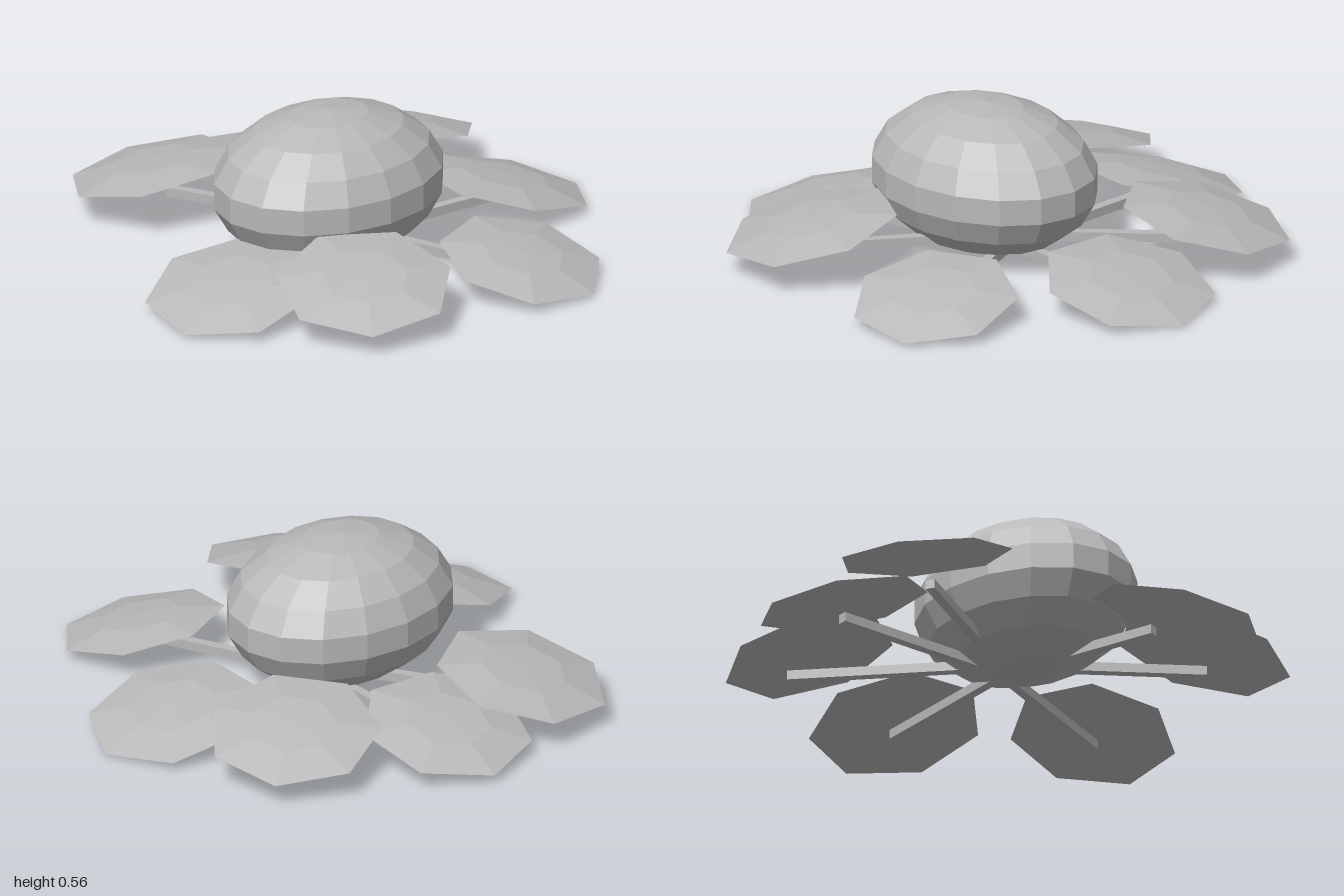
import * as THREE from 'three';

export function createModel() {
  const model = new THREE.Group();
  const grey = new THREE.MeshStandardMaterial({ color: 0xb8b8b8, flatShading: true });
  grey.name = 'plain grey';

  function add(geometry, name, parent = model) {
    const mesh = new THREE.Mesh(geometry, grey);
    mesh.name = name;
    parent.add(mesh);
    return mesh;
  }

  // Faceted, squashed body, turned a little and set off centre
  const body = add(new THREE.SphereGeometry(1, 16, 9), 'body');
  body.scale.set(0.459, 0.28, 0.366);
  body.rotation.y = THREE.MathUtils.degToRad(20.5);
  body.position.set(-0.123, 0.285, 0.045);

  // Shallow seven-sided dome with a flat underside
  function padGeometry(radius, phase) {
    const profile = [[0, 0], [radius, 0], [radius * 0.5, 0.03], [0, 0.036]]
      .map(([x, y]) => new THREE.Vector2(x, y));
    return new THREE.LatheGeometry(profile, 7, THREE.MathUtils.degToRad(90 - phase));
  }

  // Each leaf: pad centre x, y, z, radius, corner angle, stem height, stem length
  const leaves = [
    ['backRight', -0.6, 0.165, -0.525, 0.32, -90, 0.083, 0.74],
    ['back', -0.23, 0.112, -0.7, 0.315, -103, 0.055, 0.74],
    ['backLeft', 0.33, 0.165, -0.62, 0.318, -4, 0.083, 0.78],
    ['left', 0.615, 0.085, -0.175, 0.32, -15, 0.05, 0.66],
    ['frontLeft', 0.455, 0.09, 0.52, 0.306, -4, 0.05, 0.7],
    ['front', -0.2, 0.162, 0.7, 0.325, 0, 0.083, 0.74],
    ['frontRight', -0.615, 0.09, 0.435, 0.32, 194, 0.05, 0.66],
  ];
  for (const [name, x, y, z, radius, phase, stemY, length] of leaves) {
    const leaf = new THREE.Group();
    leaf.name = name + 'Leaf';
    model.add(leaf);

    // Pad droops away from the middle
    const out = new THREE.Vector3(x, 0, z).normalize();
    const pad = add(padGeometry(radius, phase), name + 'Pad', leaf);
    pad.position.set(x, y, z);
    pad.quaternion.setFromAxisAngle(new THREE.Vector3(out.z, 0, -out.x), 0.24);

    // Square stem running from the middle to below the pad
    const stem = add(new THREE.BoxGeometry(0.035, 0.035, length), name + 'Stem', leaf);
    stem.position.copy(out).multiplyScalar(length / 2).setY(stemY);
    stem.rotation.y = Math.atan2(x, z);
  }
  return model;
}
